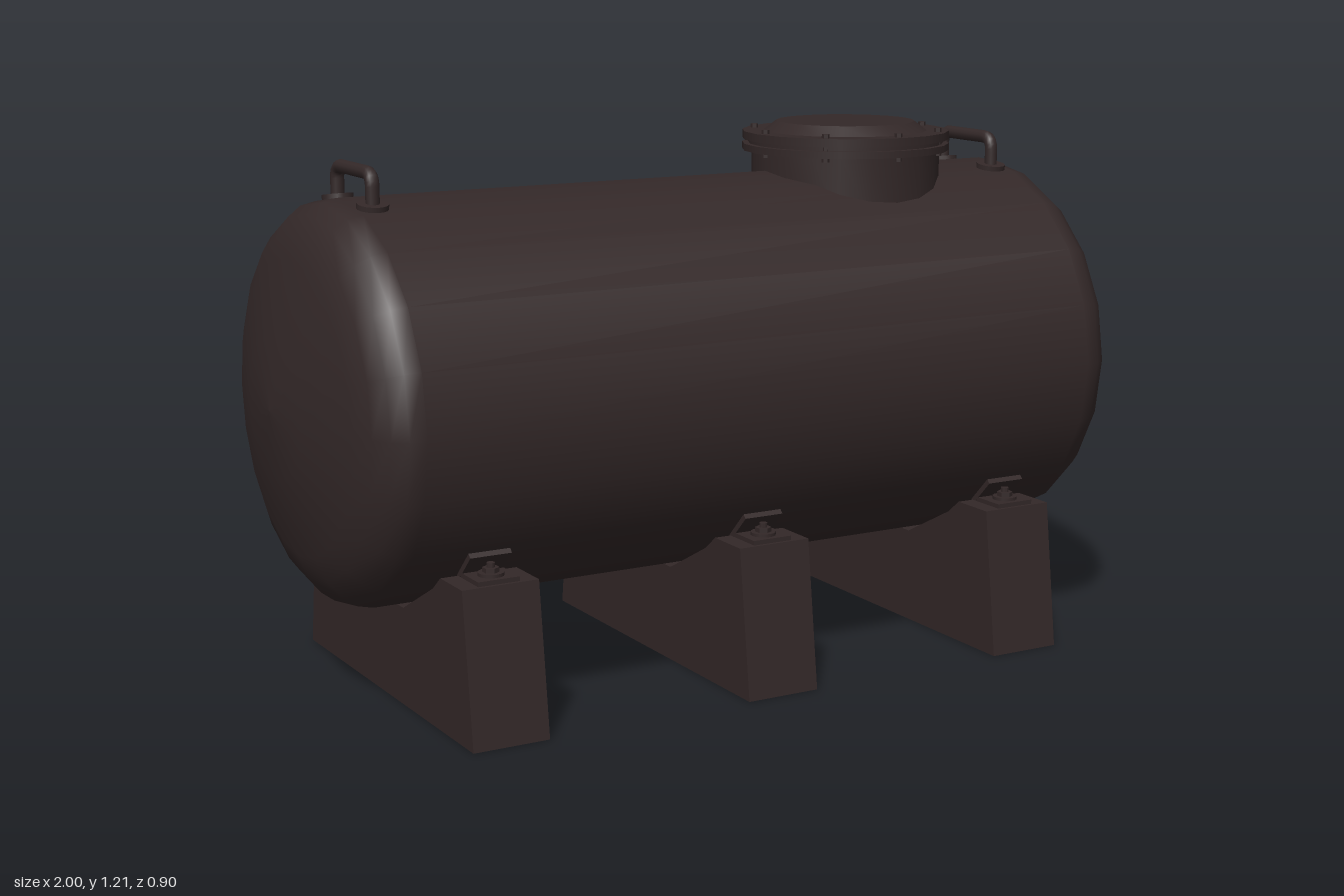
import * as THREE from 'three';
import { toCreasedNormals } from 'three/addons/utils/BufferGeometryUtils.js';

const paint = new THREE.MeshStandardMaterial({ color: 0x332828, side: THREE.DoubleSide });
paint.name = 'darkBrownPaint';

const TANK_Y = 0.66;
const SADDLE_W = 0.175;

function add(parent, name, geometry, x = 0, y = 0, z = 0) {
  const mesh = new THREE.Mesh(geometry, paint);
  mesh.name = name;
  mesh.position.set(x, y, z);
  parent.add(mesh);
  return mesh;
}

// Turned part from [radius, height] pairs, listed bottom to top
const lathe = (points, sides = 20) =>
  new THREE.LatheGeometry(points.map(([r, y]) => new THREE.Vector2(r, y)), sides);
const turned = (points, sides) => toCreasedNormals(lathe(points, sides), 0.5);
const disc = (r, h, sides) => toCreasedNormals(new THREE.CylinderGeometry(r, r, h, sides), 0.5);

// Horizontal tank with shallow domed heads
function makeTank() {
  const head = [[0, 0.998], [0.15, 0.987], [0.32, 0.944], [0.375, 0.922], [0.41, 0.895], [0.432, 0.865], [0.44, 0.83]];
  const profile = [...head.map(([r, x]) => [r, -x]), ...head.slice().reverse()];
  return lathe(profile).rotateZ(-Math.PI / 2);
}

// Hollow saddle, open underneath, with its cradle and bolted clips
function makeSaddle() {
  const saddle = new THREE.Group();
  saddle.name = 'saddle';
  const half = [[0.45, 0], [0.407, 0.335], [0.3, 0.335], [0.26, 0.303], [0.1, 0.22]];
  const path = [...half.map(([z, y]) => [-z, y]), ...half.slice().reverse()];

  const shape = new THREE.Shape(path.map(([z, y]) => new THREE.Vector2(z, y)));
  for (const side of [-1, 1]) {
    const face = new THREE.ShapeGeometry(shape).rotateY(side * Math.PI / 2);
    add(saddle, 'saddleSide', face, side * SADDLE_W / 2);
  }

  let wall = new THREE.PlaneGeometry(SADDLE_W, 1, 1, path.length - 1);
  const pos = wall.attributes.position;
  for (let i = 0; i < pos.count; i++) {
    const [z, y] = path[Math.floor(i / 2)];
    pos.setXYZ(i, pos.getX(i), y, z);
  }
  wall = wall.toNonIndexed();
  wall.computeVertexNormals();
  add(saddle, 'saddleWall', wall);

  for (const s of [-1, 1]) {
    // Foot plate on the saddle and tab welded to the tank
    add(saddle, 'clipPlate', new THREE.BoxGeometry(0.095, 0.01, 0.085), 0, 0.34, s * 0.357);
    const tab = add(saddle, 'clipTab', new THREE.BoxGeometry(0.095, 0.012, 0.085), 0, 0.361, s * 0.329);
    tab.rotation.x = -s * Math.PI / 4;
    add(saddle, 'washer', disc(0.028, 0.008, 16), 0, 0.348, s * 0.36);
    add(saddle, 'nut', disc(0.018, 0.012, 6), 0, 0.356, s * 0.36);
    add(saddle, 'boltEnd', disc(0.009, 0.014, 10), 0, 0.365, s * 0.36);
  }
  return saddle;
}

// Round manhole with two bolted flanges and a raised lid
function makeManhole() {
  const hatch = new THREE.Group();
  hatch.name = 'manhole';
  add(hatch, 'neck', turned([[0.22, 1.0], [0.22, 1.14]]));
  add(hatch, 'lowerFlange', disc(0.242, 0.016, 20), 0, 1.148, 0);
  add(hatch, 'gasket', disc(0.228, 0.014, 20), 0, 1.16, 0);
  add(hatch, 'upperFlange', disc(0.242, 0.019, 20), 0, 1.1755, 0);
  add(hatch, 'lid', turned([[0.193, 1.183], [0.162, 1.207], [0, 1.207]]));
  for (let i = 0; i < 8; i++) {
    const a = i * Math.PI / 4;
    add(hatch, 'flangeBolt', disc(0.009, 0.064, 6), 0.219 * Math.cos(a), 1.162, 0.219 * Math.sin(a));
  }
  return hatch;
}

// Bent lifting handle with a round pad at each foot
function makeHandle() {
  const handle = new THREE.Group();
  handle.name = 'handle';
  const v = (z, y) => new THREE.Vector3(0, y, z);
  const path = new THREE.CurvePath();
  path.add(new THREE.LineCurve3(v(0.097, 1.07), v(0.097, 1.13)));
  path.add(new THREE.QuadraticBezierCurve3(v(0.097, 1.13), v(0.097, 1.158), v(0.069, 1.158)));
  path.add(new THREE.LineCurve3(v(0.069, 1.158), v(-0.069, 1.158)));
  path.add(new THREE.QuadraticBezierCurve3(v(-0.069, 1.158), v(-0.097, 1.158), v(-0.097, 1.13)));
  path.add(new THREE.LineCurve3(v(-0.097, 1.13), v(-0.097, 1.07)));
  add(handle, 'handleBar', new THREE.TubeGeometry(path, 40, 0.015, 10));
  for (const s of [-1, 1]) {
    const pad = add(handle, 'handlePad', disc(0.034, 0.012, 16), 0, 1.09, s * 0.097);
    pad.rotation.x = s * 0.16;
  }
  return handle;
}

export function createModel() {
  const model = new THREE.Group();
  model.name = 'storageTank';

  add(model, 'tank', makeTank(), 0, TANK_Y, 0);

  for (const x of [-0.66, 0, 0.66]) {
    const saddle = makeSaddle();
    saddle.position.x = x;
    model.add(saddle);
  }

  const manhole = makeManhole();
  manhole.position.x = 0.44;
  model.add(manhole);

  for (const x of [-0.793, 0.793]) {
    const handle = makeHandle();
    handle.position.x = x;
    model.add(handle);
  }
  return model;
}
